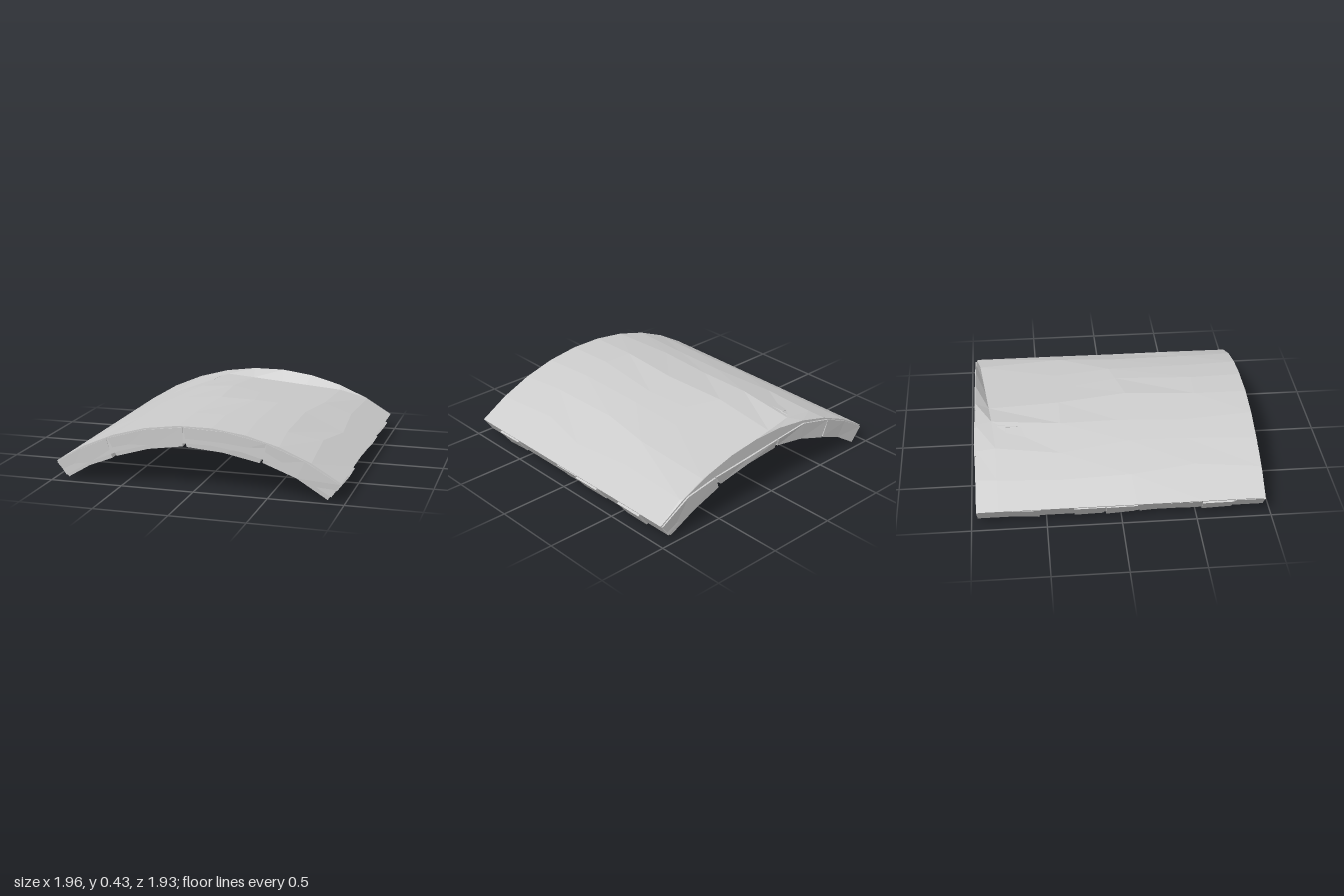
import * as THREE from 'three';

const CY = -1.288;                 // height of the arch centre
const R_OUT = 1.713, R_MORTAR = 1.595, R_IN = 1.56;
const DEG = Math.PI / 180;
const COURSES = 9, Z_HALF = 0.966;

// repeatable noise in -1..1 so that shared corners move together
function noise(a, b, c) {
  const s = Math.sin(a * 12.9898 + b * 78.233 + c * 37.719) * 43758.5453;
  return (s - Math.floor(s)) * 2 - 1;
}

// point on the arch for an angle (degrees from the crown), radius and depth
function onArch(deg, r, z) {
  return new THREE.Vector3(Math.sin(deg * DEG) * r, CY + Math.cos(deg * DEG) * r, z);
}

// height of the worn flat that cuts across the back of the vault
const wornHeight = (x, z) => 0.425 - 0.098 * x + 0.074 * (z - 0.1);

// bend a unit box by a rule taking its coordinates (-0.5..0.5)
function bentBox(nx, nz, rule) {
  const geo = new THREE.BoxGeometry(1, 1, 1, nx, 1, nz);
  const pos = geo.attributes.position;
  for (let i = 0; i < pos.count; i++) {
    const p = rule(pos.getX(i), pos.getY(i), pos.getZ(i));
    pos.setXYZ(i, p.x, p.y, p.z);
  }
  const flat = geo.toNonIndexed();
  flat.computeVertexNormals();
  return flat;
}

// faceted top skin, with a worn flat and a raised lip along the back
function topSkin() {
  const rows = [-0.952, -0.84, -0.36, 0.1, 0.55, 0.958];
  const n = rows.length - 1;
  return bentBox(9, n, (u, v, w) => {
    const k = Math.round((w + 0.5) * n);
    const col = Math.round((u + 0.5) * 9);
    const inner = k > 0 && k < n && col > 0 && col < 9;
    const deg = u * 69.4 + (inner ? noise(col, k, 1) * 1.6 : 0);
    let z = rows[k] + (inner && k > 1 ? noise(col, k, 2) * 0.09 : 0);
    if (v < 0) return onArch(deg, R_MORTAR, z);
    const p = onArch(deg, R_OUT + (inner ? noise(col, k, 3) * 0.004 : -0.002), z);
    if (k === 1) p.z = z = THREE.MathUtils.clamp(-0.84 - 0.09 * (p.x + 0.35), -0.935, -0.82);
    if (k > 0) p.y = Math.min(p.y, wornHeight(p.x, z));
    return p;
  });
}

// one wedge-shaped brick between two angles and two depths
function brick(a0, a1, z0, z1, seed) {
  return bentBox(2, 1, (u, v, w) => {
    const low = v < 0;
    const atEnd = Math.abs(u) > 0.4;
    let deg = THREE.MathUtils.lerp(a0, a1, u + 0.5);
    let z = w < 0 ? z0 : z1;
    // narrower at the soffit, with slightly uneven corners
    const taper = low ? 1 : 0.25;
    if (atEnd) deg -= Math.sign(u) * taper * (0.4 + 0.3 * noise(u, w, seed));
    z -= Math.sign(w) * taper * (0.011 + 0.009 * noise(u + 2, w, seed));
    if (low) return onArch(deg, R_IN + 0.008 + 0.01 * noise(u, w + 3, seed), z);
    const p = onArch(deg, R_OUT - 0.012, z);
    p.y = Math.min(p.y, wornHeight(p.x, z) - 0.012);
    return p;
  });
}

export function createModel() {
  const group = new THREE.Group();
  group.name = 'brickVault';
  const material = new THREE.MeshStandardMaterial({ color: 0xcccccc, flatShading: true });

  const add = (parent, name, geometry) => {
    const mesh = new THREE.Mesh(geometry, material);
    mesh.name = name;
    parent.add(mesh);
  };

  add(group, 'topSkin', topSkin());

  // courses run across the arch, with joints staggered from row to row
  const pitch = (2 * Z_HALF) / COURSES;
  for (let c = 0; c < COURSES; c++) {
    const course = new THREE.Group();
    course.name = `brickCourse${c + 1}`;
    const inside = c % 2 === 0 ? [-20.5, -3, 17] : [-29, -12, 7, 25.5];
    const ends = [-35 + 0.4 * noise(c, 1, 5), 35 + 0.4 * noise(c, 2, 5)];
    const joints = [ends[0], ...inside.map((a, i) => a + noise(c, i, 7) * (c === 8 ? 0 : 1.2)), ends[1]];
    const z0 = Z_HALF - c * pitch;
    for (let i = 0; i < joints.length - 1; i++) {
      add(course, 'brick', brick(joints[i], joints[i + 1], z0 - pitch, z0, c * 10 + i + 1));
    }
    group.add(course);
  }
  return group;
}
